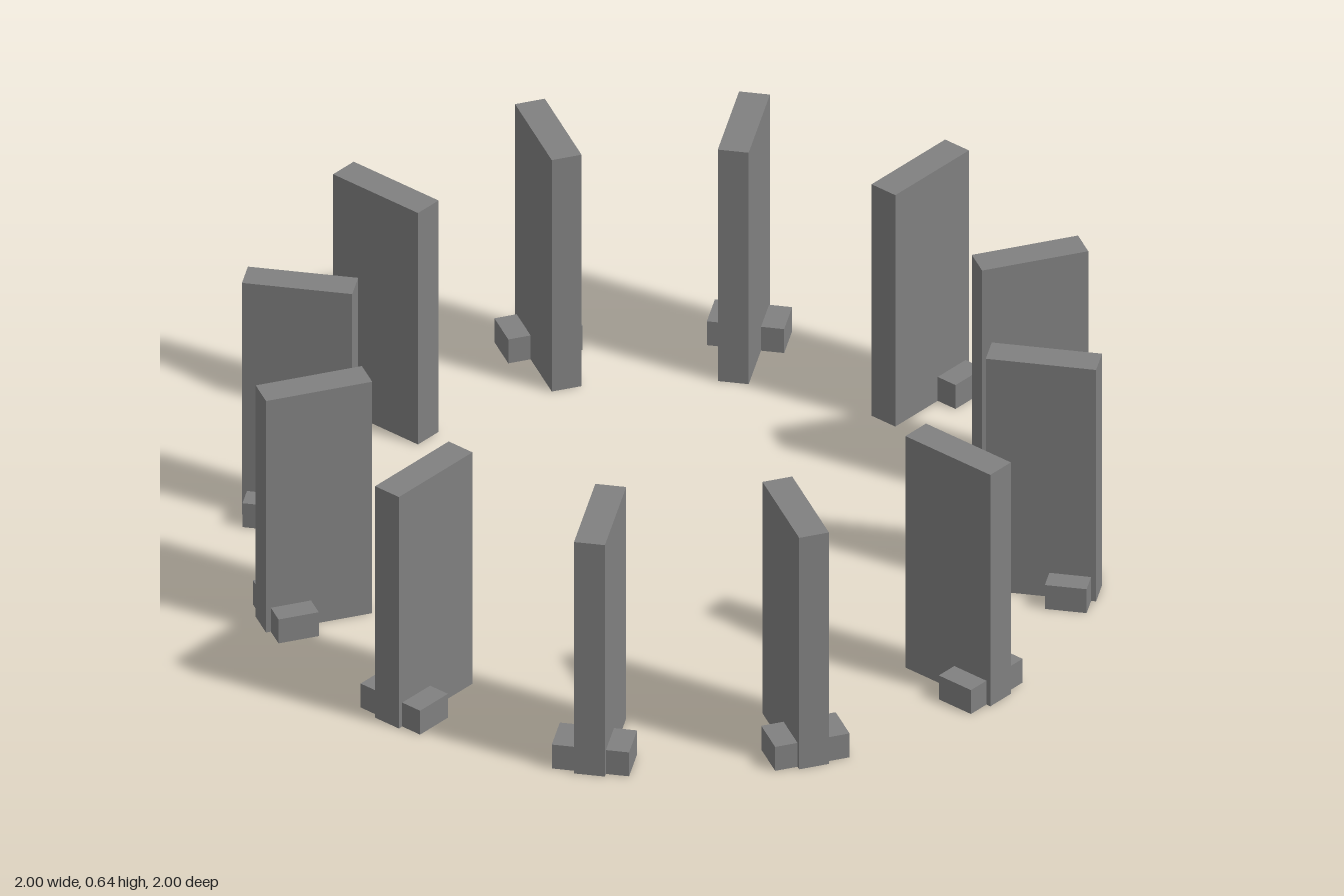
import * as THREE from 'three';

export function createModel() {
  const model = new THREE.Group();
  model.name = 'slabRing';
  const stone = new THREE.MeshStandardMaterial({ color: 0x808080 });
  stone.name = 'stoneGrey';

  // Local x points outward from the ring centre
  const slabShape = new THREE.BoxGeometry(0.264, 0.64, 0.074).translate(0.89, 0.32, 0);
  const footShape = new THREE.BoxGeometry(0.1, 0.066, 0.0555).translate(0.96, 0.033, 0);

  const addPart = (parent, name, geometry, z = 0) => {
    const mesh = new THREE.Mesh(geometry, stone);
    mesh.name = name;
    mesh.position.z = z;
    parent.add(mesh);
  };

  // Twelve upright slabs, each with a small foot block on both sides
  for (let i = 0; i < 12; i++) {
    const upright = new THREE.Group();
    upright.name = `upright${i + 1}`;
    addPart(upright, 'slab', slabShape);
    for (const side of [-1, 1]) {
      addPart(upright, side < 0 ? 'footA' : 'footB', footShape, side * 0.06475);
    }
    upright.rotation.y = ((15 + 30 * i) * Math.PI) / 180;
    model.add(upright);
  }
  return model;
}
